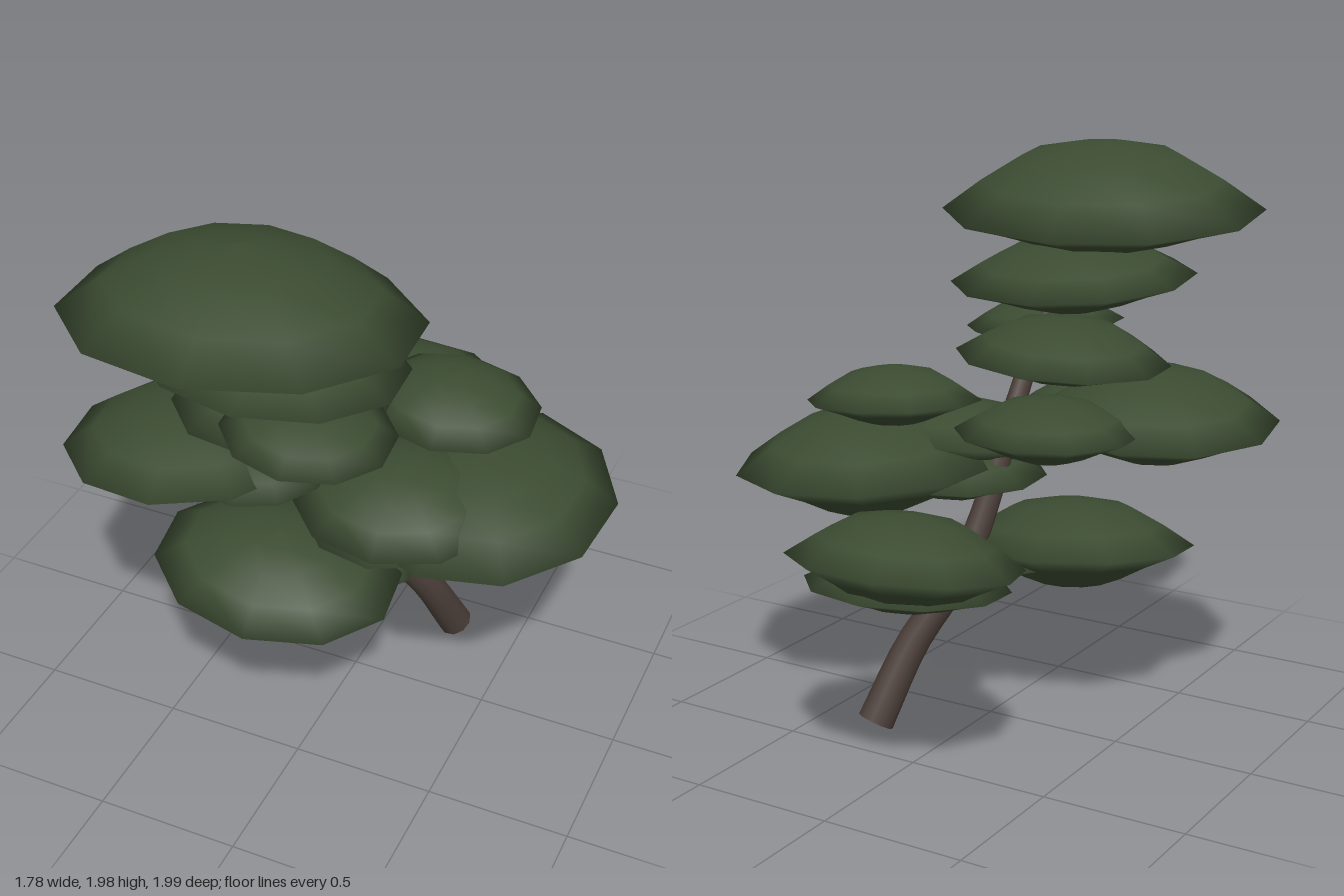
import * as THREE from 'three';

const foliage = new THREE.MeshStandardMaterial({ color: 0x3b4b31 });
foliage.name = 'dark green foliage';
const bark = new THREE.MeshStandardMaterial({ color: 0x4c3f39 });
bark.name = 'brown bark';

// Flattened foliage cloud: unit profile, bottom to top, with a sharp rim
const padProfile = [
  [0, -1], [0.28, -0.95], [0.48, -0.72], [0.72, -0.36], [1, 0],
  [0.75, 0.43], [0.48, 0.82], [0.22, 0.95], [0, 1],
].map(([r, y]) => new THREE.Vector2(r, y));

// slopeX and slopeZ give the rise of the rim per unit along x and z
function makePad({ name, at, rx, rz, up, down, slopeX = 0, slopeZ = 0, spin = 0.1 }) {
  const profile = padProfile.map(p => new THREE.Vector2(p.x, p.y * (p.y > 0 ? up : down)));
  const geometry = new THREE.LatheGeometry(profile, 10);
  geometry.rotateY(spin);
  geometry.scale(rx, 1, rz);
  const pad = new THREE.Mesh(geometry, foliage);
  pad.name = name;
  pad.position.set(...at);
  pad.rotation.set(-Math.atan(slopeZ), 0, Math.atan(slopeX));
  return pad;
}

const pads = [
  // Crown
  { name: 'topPad', at: [-0.16, 1.745, 0.49], rx: 0.58, rz: 0.51, up: 0.235, down: 0.135, slopeX: 0.02, slopeZ: 0.1 },
  { name: 'secondPad', at: [-0.12, 1.52, 0.355], rx: 0.44, rz: 0.395, up: 0.14, down: 0.11, slopeX: -0.03, slopeZ: 0.09 },
  { name: 'thirdPadFront', at: [0.03, 1.335, 0.43], rx: 0.285, rz: 0.28, up: 0.1, down: 0.1, slopeX: -0.08 },
  { name: 'thirdPadBack', at: [-0.17, 1.27, 0.2], rx: 0.375, rz: 0.36, up: 0.14, down: 0.08, slopeX: 0.06 },
  // Middle layer
  { name: 'middlePadRight', at: [-0.47, 1.08, 0.3], rx: 0.43, rz: 0.43, up: 0.16, down: 0.145, slopeX: 0.06, slopeZ: 0.06, spin: 0.17 },
  { name: 'middlePadInner', at: [-0.2, 1.08, 0.33], rx: 0.245, rz: 0.26, up: 0.1, down: 0.09 },
  { name: 'middlePadRightBack', at: [-0.28, 1.09, -0.1], rx: 0.315, rz: 0.3, up: 0.11, down: 0.1 },
  { name: 'middlePadLeftBack', at: [0.28, 1.14, -0.17], rx: 0.31, rz: 0.275, up: 0.12, down: 0.08, slopeX: -0.06, slopeZ: -0.05 },
  // Broad left-hand layer
  { name: 'broadPadLeft', at: [0.44, 0.885, -0.07], rx: 0.455, rz: 0.525, up: 0.19, down: 0.18, slopeX: -0.02, spin: -0.07 },
  { name: 'broadPadFront', at: [0.23, 0.95, 0.16], rx: 0.37, rz: 0.33, up: 0.14, down: 0.12, slopeZ: -0.1 },
  { name: 'broadPadLower', at: [0.2, 0.84, 0.1], rx: 0.32, rz: 0.33, up: 0.13, down: 0.09, slopeX: 0.03 },
  // Back layer
  { name: 'backPad', at: [-0.09, 0.77, -0.67], rx: 0.4, rz: 0.335, up: 0.155, down: 0.15, slopeZ: -0.12, spin: 0.245 },
  { name: 'backPadLower', at: [-0.04, 0.66, -0.58], rx: 0.34, rz: 0.33, up: 0.1, down: 0.08, slopeZ: -0.1 },
  { name: 'backPadSmall', at: [0.05, 0.62, -0.3], rx: 0.19, rz: 0.23, up: 0.12, down: 0.07, slopeX: 0.08 },
  // Lowest front layer
  { name: 'lowPadFront', at: [-0.185, 0.59, 0.25], rx: 0.445, rz: 0.365, up: 0.165, down: 0.145, slopeX: -0.08, slopeZ: -0.1 },
  { name: 'lowPadSmall', at: [0.03, 0.55, 0.06], rx: 0.22, rz: 0.19, up: 0.09, down: 0.05 },
];

// Leaning trunk: a tube narrowed ring by ring along its curve
function makeTrunk() {
  const curve = new THREE.CatmullRomCurve3([
    [0.26, 0.03, -0.34], [0.19, 0.29, -0.21], [0.08, 0.52, -0.09], [0.03, 0.74, 0.01],
    [0.0, 1.0, 0.11], [-0.02, 1.22, 0.22], [-0.07, 1.48, 0.34], [-0.13, 1.75, 0.46],
  ].map(p => new THREE.Vector3(...p)));
  const rings = 24, sides = 10;
  const geometry = new THREE.TubeGeometry(curve, rings, 1, sides);
  const position = geometry.attributes.position;
  const v = new THREE.Vector3();
  for (let i = 0; i <= rings; i++) {
    const t = i / rings, centre = curve.getPointAt(t);
    const radius = 0.064 * (1 - t) + 0.02 * t;
    for (let j = 0; j <= sides; j++) {
      const k = i * (sides + 1) + j;
      v.fromBufferAttribute(position, k).sub(centre).multiplyScalar(radius).add(centre);
      position.setXYZ(k, v.x, v.y, v.z);
    }
  }
  const trunk = new THREE.Mesh(geometry, bark);
  trunk.name = 'trunk';

  // Cut end at the foot
  const foot = new THREE.Mesh(new THREE.CircleGeometry(0.064, sides), bark);
  foot.name = 'trunkFoot';
  foot.position.copy(curve.getPointAt(0));
  foot.quaternion.setFromUnitVectors(new THREE.Vector3(0, 0, 1), curve.getTangentAt(0).negate());
  return [trunk, foot];
}

export function createModel() {
  const tree = new THREE.Group();
  tree.name = 'tree';
  const crown = new THREE.Group();
  crown.name = 'foliage';
  crown.add(...pads.map(makePad));
  tree.add(crown, ...makeTrunk());
  return tree;
}
